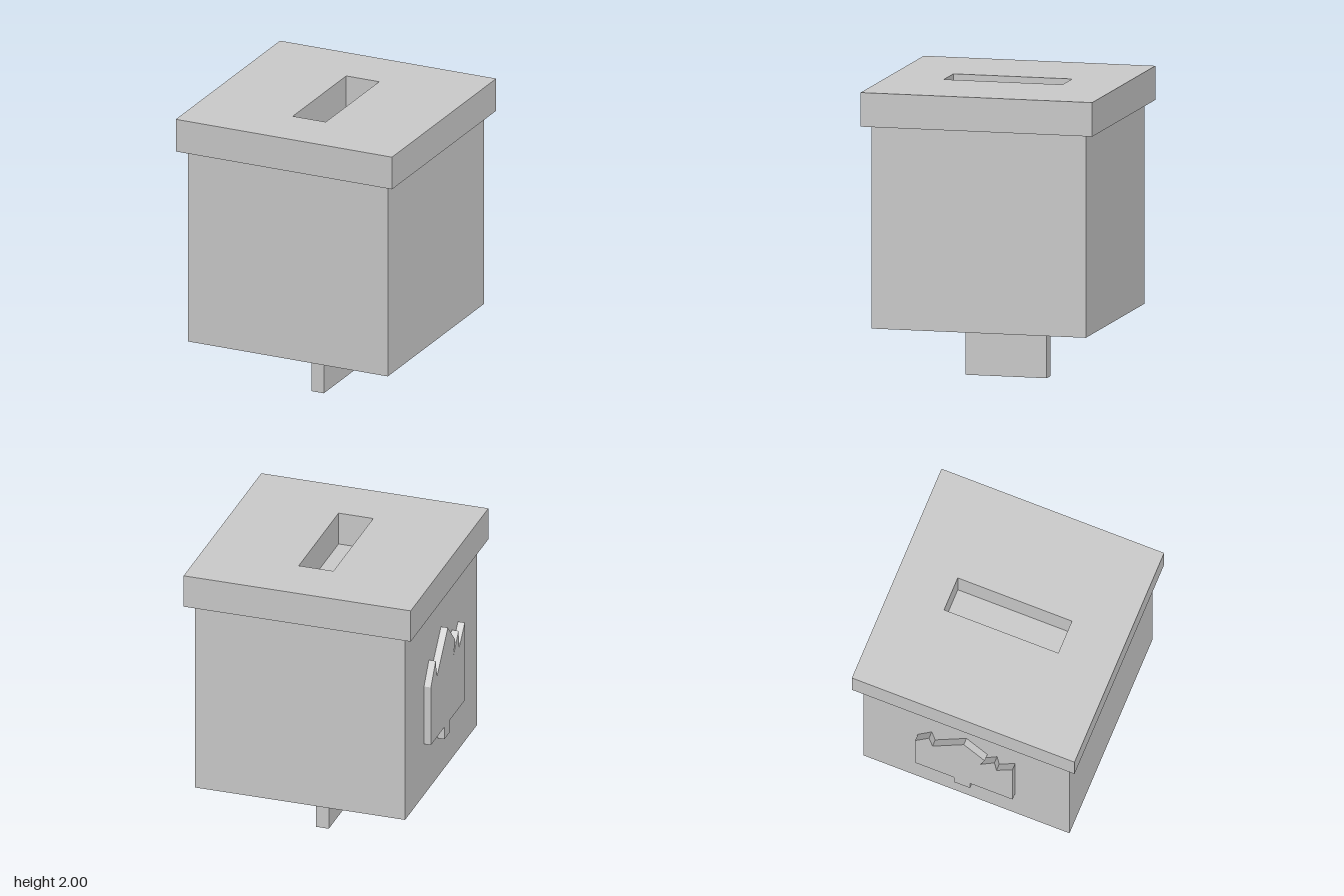
import * as THREE from 'three';

const material = new THREE.MeshStandardMaterial({ color: 0xcccccc, flatShading: true });

function addMesh(group, name, geometry, x, y, z) {
  const mesh = new THREE.Mesh(geometry, material);
  mesh.name = name;
  mesh.position.set(x, y, z);
  group.add(mesh);
  return mesh;
}

function outline(points) {
  return new THREE.Shape(points.map(([a, b]) => new THREE.Vector2(a, b)));
}

function rectangle(w, d) {
  return [[-w, -d], [w, -d], [w, d], [-w, d]];
}

// Raised plate on a -x face: points are (z, y), thickness grows towards -x
function sidePlate(points, depth) {
  const geometry = new THREE.ExtrudeGeometry(outline(points), { depth, bevelEnabled: false });
  return geometry.rotateY(-Math.PI / 2);
}

export function createModel() {
  const group = new THREE.Group();

  // Box body
  addMesh(group, 'body', new THREE.BoxGeometry(1.48, 1.37, 1.48), 0, 1.085, 0);

  // Overhanging lid with a slot
  const lidShape = outline(rectangle(0.8, 0.8));
  lidShape.holes.push(outline(rectangle(0.122, 0.41)));
  const lid = new THREE.ExtrudeGeometry(lidShape, { depth: 0.23, bevelEnabled: false });
  lid.rotateX(-Math.PI / 2);
  addMesh(group, 'lid', lid, 0, 1.77, 0);

  // Jagged relief with a short stem on the side
  const relief = sidePlate([
    [-0.35, 0.78], [-0.07, 0.78], [-0.07, 0.69], [0.045, 0.69], [0.045, 0.78], [0.35, 0.78],
    [0.35, 1.36], [0.235, 1.23], [0.22, 1.36], [0.12, 1.23], [0.15, 1.33],
    [0, 1.49], [-0.225, 1.23], [-0.25, 1.36], [-0.35, 1.21],
  ], 0.048);
  addMesh(group, 'sideRelief', relief, -0.74, 0, 0);

  // Flat foot under the body
  addMesh(group, 'foot', new THREE.BoxGeometry(0.09, 0.4, 0.56), 0, 0.2, 0);

  // Small pointed plate on the foot
  const plate = sidePlate([[0, 0.16], [0.22, 0.38], [0.22, 0.4], [-0.22, 0.4], [-0.22, 0.38]], 0.05);
  addMesh(group, 'footPlate', plate, -0.045, 0, 0);

  return group;
}
